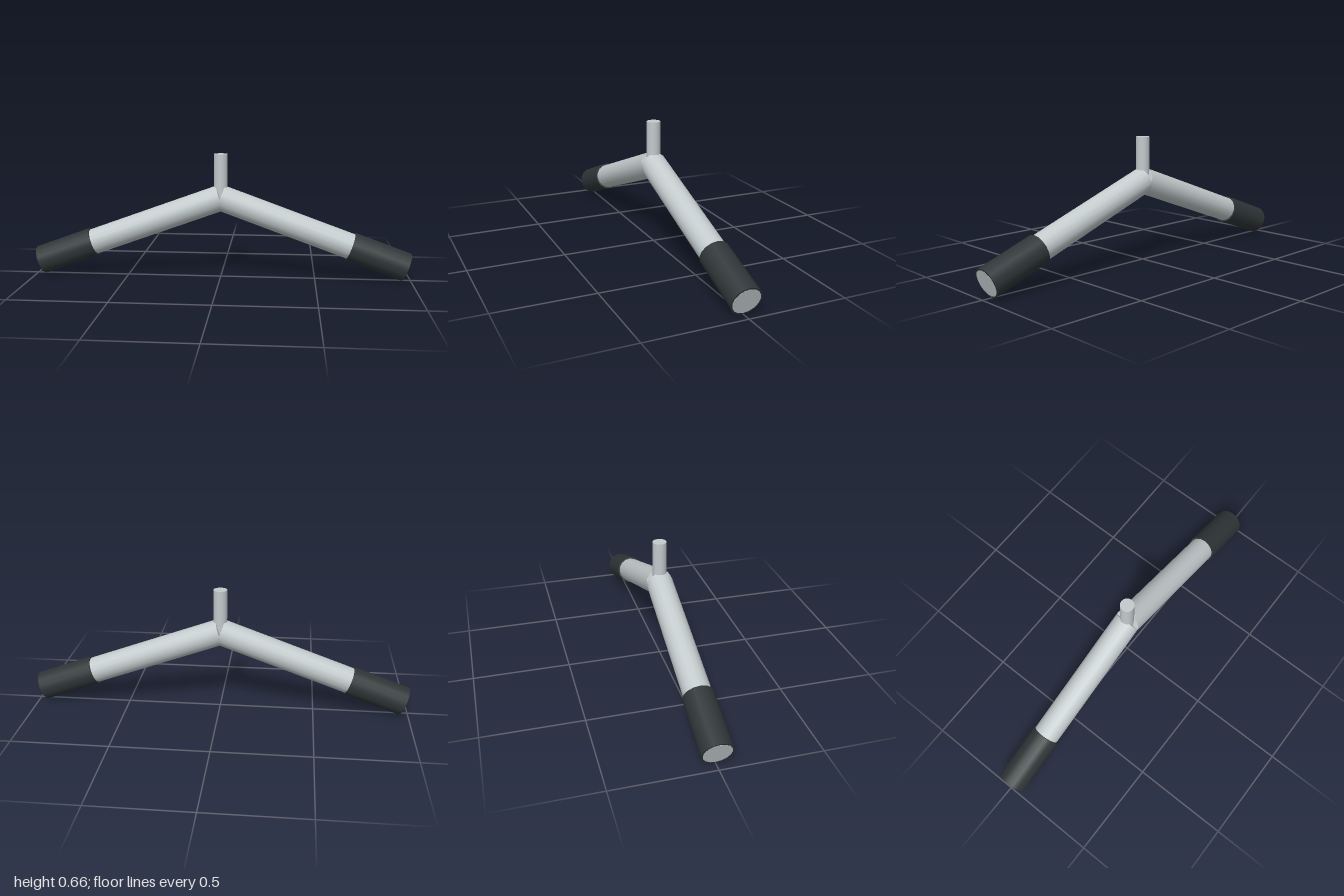
import * as THREE from 'three';

const SLOPE = THREE.MathUtils.degToRad(20);
const HUB_Y = 0.427;      // where the two bar axes meet
const BAR_LENGTH = 1.037;
const GRIP_LENGTH = 0.31;
const SIDES = 16;

const metal = new THREE.MeshStandardMaterial({ color: 0xc3cbcd });
const rubber = new THREE.MeshStandardMaterial({ color: 0x2f3638 });

// Cylinder rising along y from a start height
function rod(name, radius, start, length, material) {
  const geometry = new THREE.CylinderGeometry(radius, radius, length, SIDES);
  geometry.translate(0, start + length / 2, 0);
  const mesh = new THREE.Mesh(geometry, material);
  mesh.name = name;
  return mesh;
}

export function createModel() {
  const model = new THREE.Group();
  model.name = 'handlebar';

  // Sloping bars, each with a sleeve grip at its outer end
  for (const side of [1, -1]) {
    const arm = new THREE.Group();
    arm.name = side > 0 ? 'leftArm' : 'rightArm';
    arm.add(
      // the bar end stands a hair proud of the grip
      rod('bar', 0.069, 0, BAR_LENGTH + 0.001, metal),
      rod('grip', 0.077, BAR_LENGTH - GRIP_LENGTH, GRIP_LENGTH, rubber)
    );
    arm.position.y = HUB_Y;
    arm.rotation.z = -side * (Math.PI / 2 + SLOPE);
    model.add(arm);
  }

  // Upright stem in the notch between the bars
  model.add(rod('stem', 0.036, 0.41, 0.248, metal));

  return model;
}
